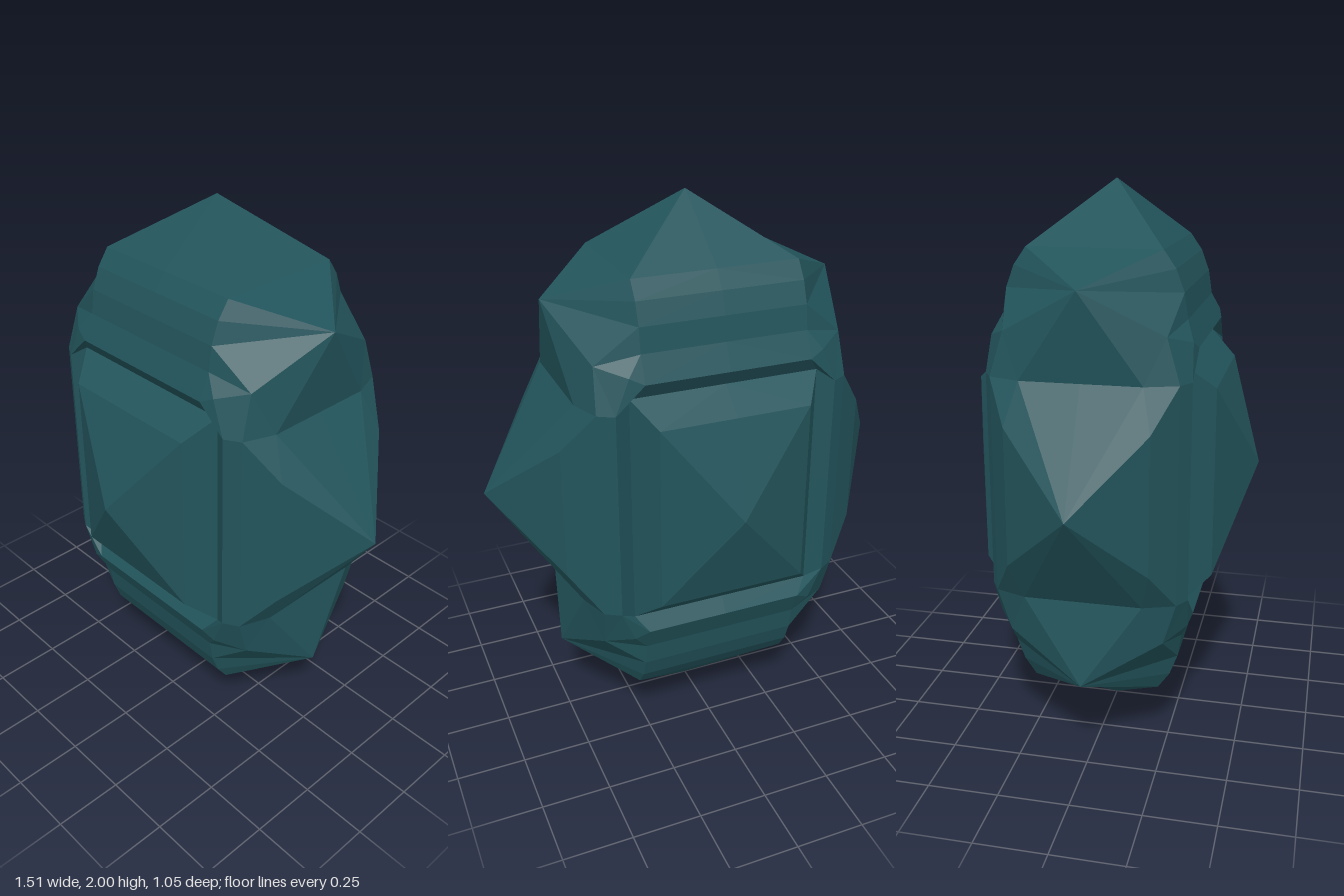
import * as THREE from 'three';

// Key points of one eighth of the gem, as half extents from its middle
const P = {
  top: [0, 1, 0], side: [0.757, 0, 0], face: [0, 0, 0.527],  // tips
  corner: [0.53, 0.68, 0],                                   // shoulder spike
  cap: [0.295, 0.785, 0.23],                                 // base of the top point
  s1: [0.295, 0.725, 0.272], s2: [0.295, 0.65, 0.3],         // rounded steps below it
  s3: [0.295, 0.565, 0.313], s4: [0.295, 0.475, 0.352],
  frame: [0.345, 0.5, 0.34], rim: [0.395, 0.38, 0.347],      // frame around the panel
  flank: [0.44, 0.53, 0.27], edge: [0.45, 0.38, 0.315],
  wing: [0.49, 0.38, 0.205], wingBend: [0.555, 0.24, 0.24],  // side point
  recess: [0.338, 0.42, 0.315], bevel: [0.27, 0.335, 0.41],  // raised panel
};

// A suffix drops a point on to a mirror plane: capX lies on x = 0
const point = (name) => {
  if (P[name]) return new THREE.Vector3(...P[name]);
  const v = new THREE.Vector3(...P[name.slice(0, -1)]);
  v[name.slice(-1).toLowerCase()] = 0;
  return v;
};

// Each polygon is a fan of points
const parts = {
  endPoints: ['top capX cap', 'top cap capZ', 'capZ cap corner'],
  steppedBands: ['capX s1X s1 cap', 's1X s2X s2 s1', 's2X s3X s3 s2', 's3X s4X s4 s3'],
  shoulders: [
    'corner cap s1', 'corner s1 s2', 'corner s2 flank', 'flank s2 s3', 'flank s3 frame',
    's3 s4 frame', 'flank frame rim edge', 'flank edge wing', 'corner flank wing', 'corner wing wingZ',
  ],
  sidePoints: [
    'side wing wingZ', 'side wing wingBend', 'side wingBend wingBendY',
    'wing edge wingBend', 'wingBend edge edgeY wingBendY', 'edge rim rimY edgeY',
  ],
  panelFrames: ['s4X recessX recess s4', 's4 recess rim', 's4 rim frame', 'rim recess recessY rimY'],
  panels: [
    'recessX recess bevel bevelX', 'recess recessY bevelY bevel',
    'face bevelX bevel', 'face bevel bevelY',
  ],
};

// Mirror a point into its eighth; all but the tips sit slightly off centre
function place(v, sx, sy, sz) {
  const p = new THREE.Vector3(v.x * sx, v.y * sy + 1, v.z * sz);
  const tip = [v.x, v.y, v.z].filter((c) => c === 0).length === 2;
  if (!tip) p.add(new THREE.Vector3(-0.012, 0.007, -0.01));
  else if (v.y === 0) p.y += 0.01;
  return p;
}

function facets(polygons) {
  const out = [];
  const n = new THREE.Vector3(), mid = new THREE.Vector3();
  for (const polygon of polygons) {
    const pts = polygon.split(' ').map(point);
    for (let i = 1; i < pts.length - 1; i++) {
      let tri = [pts[0], pts[i], pts[i + 1]];
      // Turn the facet outwards
      new THREE.Triangle(...tri).getNormal(n);
      new THREE.Triangle(...tri).getMidpoint(mid);
      if ((Math.abs(n.z) > 1e-6 ? n.z : n.dot(mid)) < 0) tri = [tri[0], tri[2], tri[1]];
      for (const sx of [1, -1]) for (const sy of [1, -1]) for (const sz of [1, -1]) {
        const m = tri.map((v) => place(v, sx, sy, sz));
        if (sx * sy * sz < 0) m.reverse();
        for (const v of m) out.push(v.x, v.y, v.z);
      }
    }
  }
  const g = new THREE.BufferGeometry();
  g.setAttribute('position', new THREE.Float32BufferAttribute(out, 3));
  g.computeVertexNormals();
  return g;
}

export function createModel() {
  const group = new THREE.Group();
  group.name = 'gemstone';
  const material = new THREE.MeshStandardMaterial({ color: 0x22545b, flatShading: true });
  for (const [name, polygons] of Object.entries(parts)) {
    const mesh = new THREE.Mesh(facets(polygons), material);
    mesh.name = name;
    group.add(mesh);
  }
  return group;
}
